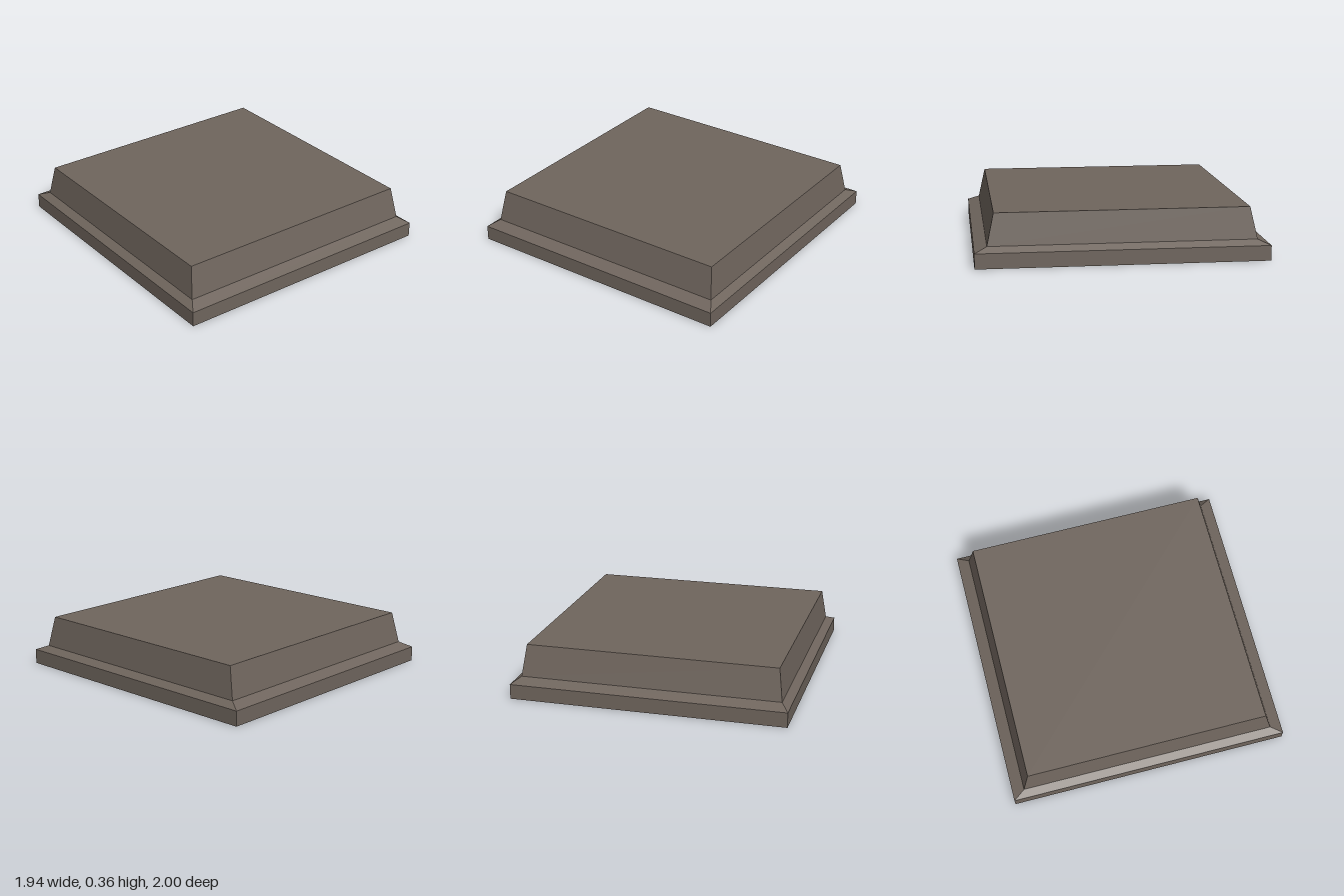
import * as THREE from 'three';

const stone = new THREE.MeshStandardMaterial({ color: 0x6f655d, side: THREE.DoubleSide });
stone.name = 'grey brown';

// Rectangular sections: half width x, height y, half depth z
const rimBottom = [0.97, 0, 1];
const rimTop = [0.97, 0.105, 1];
const wallBottom = [0.915, 0.14, 0.915];
const wallTop = [0.885, 0.36, 0.867];

// Corners run from front left round to the back and on to the front right
const corners = ([x, y, z]) => [[x, y, z], [x, y, -z], [-x, y, -z], [-x, y, z]];

function addPart(group, name, quads) {
  const points = quads.flatMap(([a, b, c, d]) => [a, b, c, a, c, d]).flat();
  const geometry = new THREE.BufferGeometry();
  geometry.setAttribute('position', new THREE.Float32BufferAttribute(points, 3));
  geometry.computeVertexNormals();
  const mesh = new THREE.Mesh(geometry, stone);
  mesh.name = name;
  group.add(mesh);
}

// Four flat sides joining a lower section to an upper one
function band(lower, upper) {
  const lo = corners(lower), up = corners(upper);
  return lo.map((p, i) => [p, lo[(i + 1) % 4], up[(i + 1) % 4], up[i]]);
}

export function createModel() {
  const group = new THREE.Group();
  group.name = 'hollowSlab';
  addPart(group, 'rim', band(rimBottom, rimTop));
  addPart(group, 'slopedLedge', band(rimTop, wallBottom));
  addPart(group, 'taperedWall', band(wallBottom, wallTop));
  addPart(group, 'topPlate', [corners(wallTop)]); // underside stays open
  return group;
}
